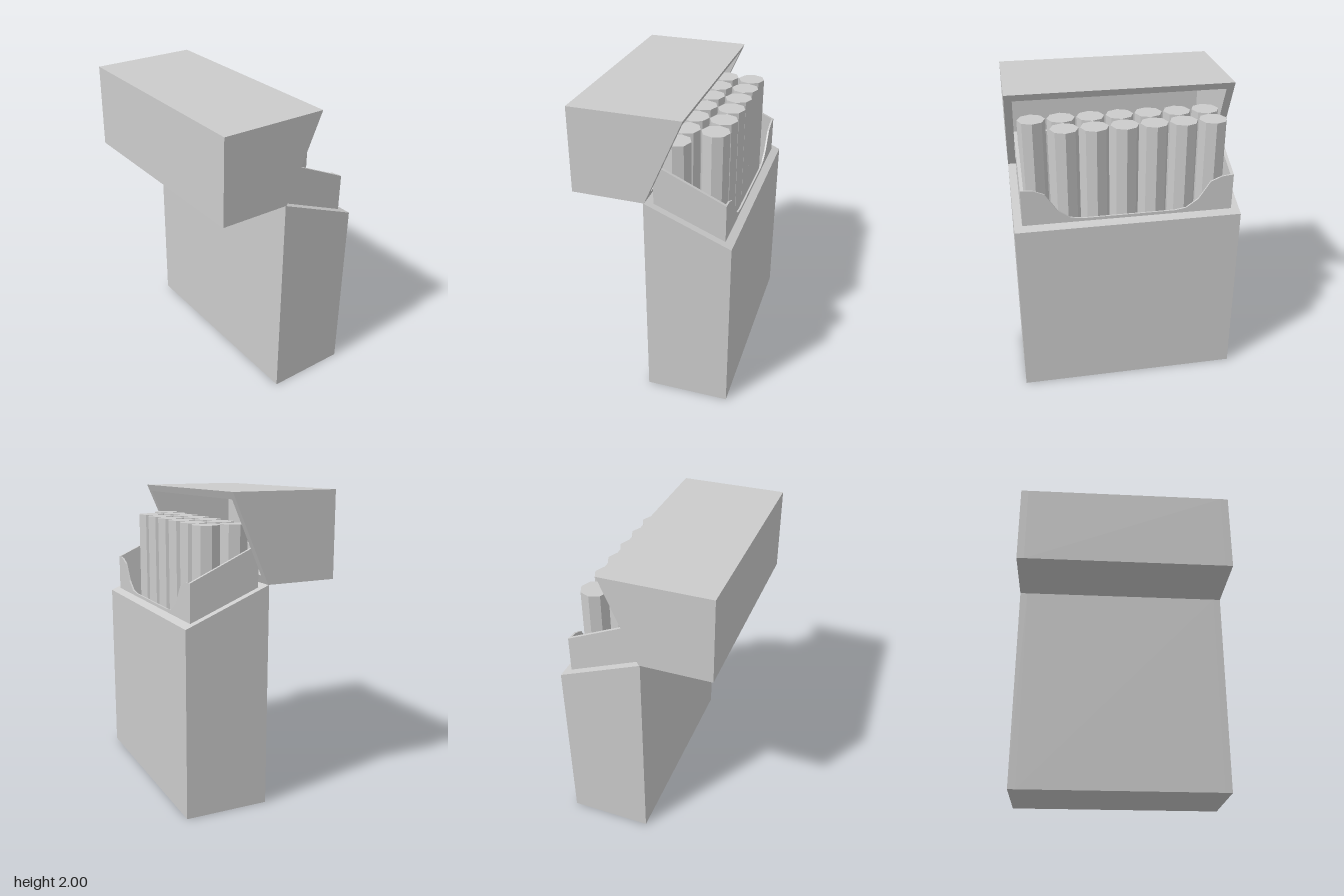
import * as THREE from 'three';

const material = new THREE.MeshStandardMaterial({ color: 0xcccccc, flatShading: true });

function add(parent, name, geometry) {
  const mesh = new THREE.Mesh(geometry, material);
  mesh.name = name;
  parent.add(mesh);
  return mesh;
}

function extrude(points, depth) {
  const shape = new THREE.Shape(points.map(([x, y]) => new THREE.Vector2(x, y)));
  return new THREE.ExtrudeGeometry(shape, { depth, bevelEnabled: false });
}

// Side profile (x, y) extruded from z0 to z1
function slab(parent, name, points, z0, z1) {
  add(parent, name, extrude(points, z1 - z0).translate(0, 0, z0));
}

// The same side profile on both ends of the pack
function sidePair(parent, name, points, inner, outer) {
  slab(parent, name + 'Left', points, inner, outer);
  slab(parent, name + 'Right', points, -outer, -inner);
}

export function createModel() {
  const pack = new THREE.Group();
  pack.name = 'openPack';
  const halfWidth = 0.73, inside = 0.68;

  // Outer carton: sloping top, hollow between its two sides
  const carton = new THREE.Group();
  carton.name = 'carton';
  pack.add(carton);
  const back = -0.047, front = 0.505;
  const rim = (x) => 1.437 - (x - back) * 0.411;
  sidePair(carton, 'cartonSide',
    [[back, 0], [front, 0], [front, rim(front)], [back, rim(back)]], inside, halfWidth);
  slab(carton, 'cartonWrap', [
    [back, 0], [front, 0], [front, rim(front)], [0.455, rim(0.455)],
    [0.455, 0.05], [0, 0.05], [0, rim(0)], [back, rim(back)],
  ], -inside, inside);

  // Lid tipped back on the hinge, open along its slanted face
  const lid = new THREE.Group();
  lid.name = 'lid';
  pack.add(lid);
  const lidOuter = [[-0.04, 1.437], [-0.508, 1.442], [-0.503, 2], [0.203, 1.995]];
  const lidInner = [[0.183, 1.95], [-0.457, 1.953], [-0.459, 1.49], [-0.017, 1.49]];
  sidePair(lid, 'lidSide', lidOuter, inside, halfWidth);
  slab(lid, 'lidWrap', [...lidOuter, ...lidInner], -inside, inside);

  // Inner sleeve: sloping sides, plain back, notched front
  const sleeve = new THREE.Group();
  sleeve.name = 'innerSleeve';
  pack.add(sleeve);
  sidePair(sleeve, 'sleeveSide',
    [[0.001, 0.05], [0.454, 0.05], [0.454, 1.472], [0.001, 1.68]], 0.657, 0.678);
  slab(sleeve, 'sleeveBack', [[0.001, 0.05], [0.012, 0.05], [0.012, 1.675], [0.001, 1.68]], -0.657, 0.657);
  const notch = [[0.657, 1.472], [0.6, 1.465], [0.53, 1.435], [0.455, 1.32], [0.375, 1.262], [0.3, 1.25]];
  const mirrored = notch.map(([z, y]) => [-z, y]).reverse();
  add(sleeve, 'sleeveFront',
    extrude([[-0.657, 0.05], [0.657, 0.05], ...notch, ...mirrored], 0.012)
      .rotateY(Math.PI / 2).translate(0.442, 0, 0));

  // Two rows of eight-sided sticks, one missing from the front row
  const sticks = new THREE.Group();
  sticks.name = 'sticks';
  pack.add(sticks);
  const stick = new THREE.CylinderGeometry(0.09, 0.09, 1.75, 8);
  for (const [x, count] of [[0.115, 7], [0.3, 6]]) {
    for (let i = 0; i < count; i++) {
      add(sticks, 'stick', stick).position.set(x, 0.925, -0.565 + i * 0.189);
    }
  }

  return pack;
}
